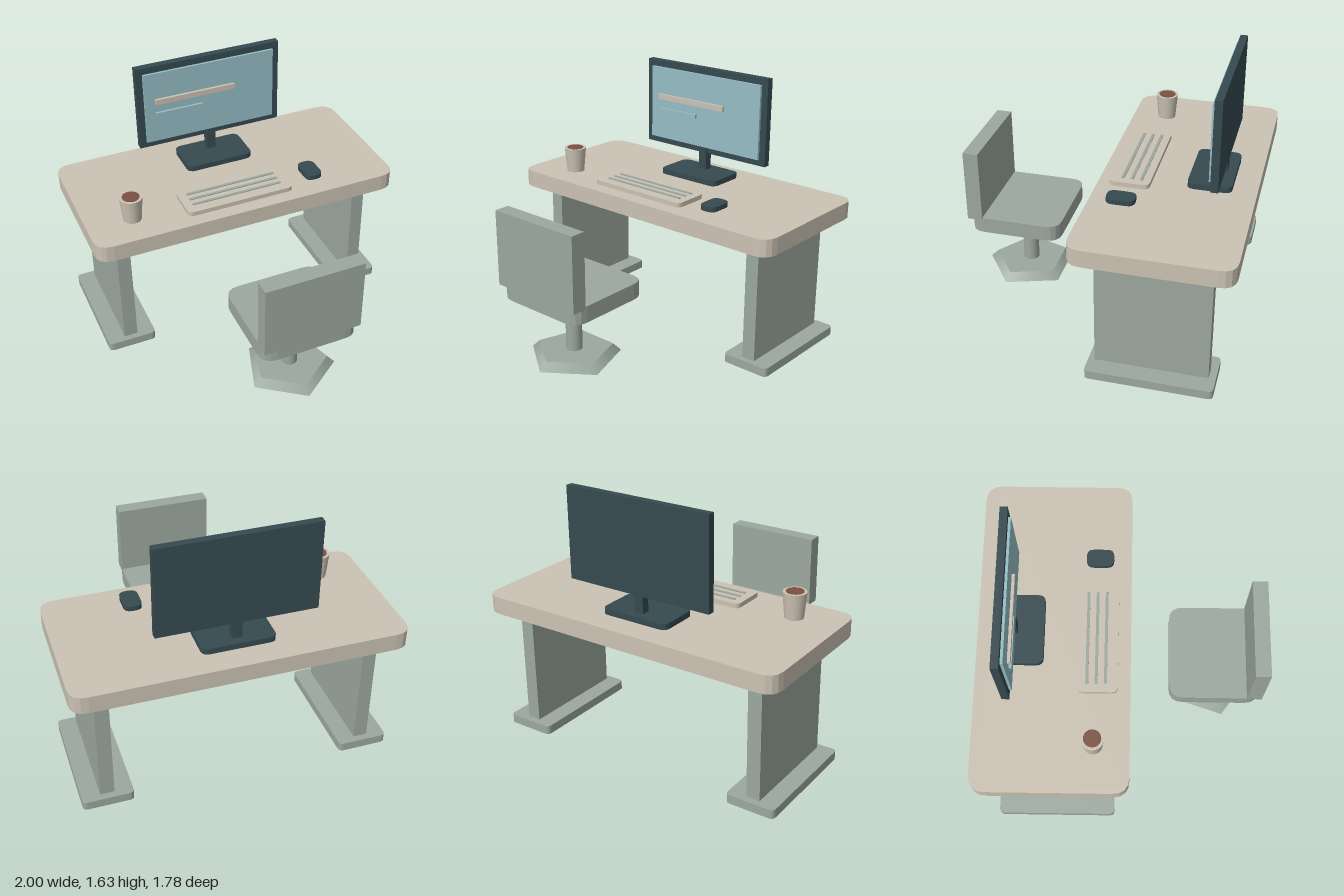
import * as THREE from 'three';

const mat = (name, color) => {
  const m = new THREE.MeshStandardMaterial({ color });
  m.name = name;
  return m;
};

export function createModel() {
  const beige = mat('warm beige', 0xcbc2b3);
  const sage = mat('sage grey', 0x9ca8a0);
  const dark = mat('dark slate', 0x364a50);
  const teal = mat('screen teal', 0x95bdc4);
  const brown = mat('coffee brown', 0x7a5040);

  const root = new THREE.Group();
  root.name = 'workstation';
  const group = (name) => {
    const g = new THREE.Group();
    g.name = name;
    root.add(g);
    return g;
  };
  const add = (parent, name, geometry, material) => {
    const mesh = new THREE.Mesh(geometry, material);
    mesh.name = name;
    parent.add(mesh);
    return mesh;
  };

  // Box given by its extents on each axis
  const box = (parent, name, material, [x0, x1], [y0, y1], [z0, z1]) => {
    const mesh = add(parent, name, new THREE.BoxGeometry(x1 - x0, y1 - y0, z1 - z0), material);
    mesh.position.set((x0 + x1) / 2, (y0 + y1) / 2, (z0 + z1) / 2);
    return mesh;
  };

  // Horizontal slab with rounded corners, given by its extents
  const slab = (parent, name, material, [x0, x1], [y0, y1], [z0, z1], r) => {
    const a = (x1 - x0) / 2, b = (z1 - z0) / 2;
    const s = new THREE.Shape();
    s.moveTo(-a + r, -b);
    s.lineTo(a - r, -b);
    s.quadraticCurveTo(a, -b, a, -b + r);
    s.lineTo(a, b - r);
    s.quadraticCurveTo(a, b, a - r, b);
    s.lineTo(-a + r, b);
    s.quadraticCurveTo(-a, b, -a, b - r);
    s.lineTo(-a, -b + r);
    s.quadraticCurveTo(-a, -b, -a + r, -b);
    const geo = new THREE.ExtrudeGeometry(s, { depth: y1 - y0, bevelEnabled: false, curveSegments: 4 });
    geo.rotateX(-Math.PI / 2);
    const mesh = add(parent, name, geo, material);
    mesh.position.set((x0 + x1) / 2, y0, (z0 + z1) / 2);
    return mesh;
  };

  const cylinder = (parent, name, material, rTop, rBottom, [y0, y1], x, z, sides) => {
    const mesh = add(parent, name, new THREE.CylinderGeometry(rTop, rBottom, y1 - y0, sides), material);
    mesh.position.set(x, (y0 + y1) / 2, z);
    return mesh;
  };

  // Desk: top, two panel legs and their feet
  const desk = group('desk');
  slab(desk, 'deskTop', beige, [-1, 1], [0.803, 0.911], [-0.892, 0.052], 0.1);
  for (const side of [-1, 1]) {
    const label = side > 0 ? 'left' : 'right';
    const x = side * 0.812;
    box(desk, label + 'LegPanel', sage, [x - 0.043, x + 0.043], [0.05, 0.798], [-0.758, -0.081]);
    slab(desk, label + 'Foot', sage, [x - 0.155, x + 0.155], [0, 0.055], [-0.801, -0.043], 0.03);
  }

  // Monitor: stand, neck, frame and screen
  const monitor = group('monitor');
  slab(monitor, 'standBase', dark, [-0.223, 0.223], [0.918, 0.954], [-0.745, -0.478], 0.045);
  box(monitor, 'neck', dark, [-0.03, 0.03], [0.94, 1.108], [-0.691, -0.64]);
  box(monitor, 'frame', dark, [-0.482, 0.482], [1.064, 1.628], [-0.701, -0.655]);
  box(monitor, 'screen', teal, [-0.438, 0.438], [1.105, 1.586], [-0.655, -0.639]);
  box(monitor, 'upperScreenBar', beige, [-0.369, 0.164], [1.374, 1.409], [-0.639, -0.621]);
  box(monitor, 'lowerScreenBar', teal, [-0.369, -0.057], [1.289, 1.315], [-0.639, -0.623]);

  // Keyboard with three key rows
  const keyboard = group('keyboard');
  slab(keyboard, 'keyboardBody', beige, [-0.396, 0.303], [0.92, 0.949], [-0.267, -0.024], 0.035);
  for (const z of [-0.211, -0.155, -0.099]) {
    box(keyboard, 'keyRow', sage, [-0.342, 0.25], [0.947, 0.954], [z - 0.009, z + 0.009]);
  }

  slab(root, 'mouse', dark, [0.422, 0.533], [0.934, 0.964], [-0.231, -0.059], 0.045);

  // Cup with coffee
  const cup = group('cup');
  cylinder(cup, 'cupBody', beige, 0.071, 0.057, [0.911, 1.07], -0.711, -0.166, 24);
  cylinder(cup, 'coffee', brown, 0.053, 0.053, [1.066, 1.073], -0.711, -0.166, 24);

  // Chair on a five-sided base
  const chair = group('chair');
  slab(chair, 'seat', sage, [-0.308, 0.308], [0.462, 0.563], [0.3, 0.877], 0.09);
  box(chair, 'backrest', sage, [-0.308, 0.308], [0.548, 1.014], [0.796, 0.892]);
  cylinder(chair, 'post', sage, 0.05, 0.05, [0.115, 0.463], 0, 0.589, 20);
  cylinder(chair, 'chairBase', sage, 0.238, 0.288, [0.067, 0.117], 0, 0.589, 5);

  return root;
}
